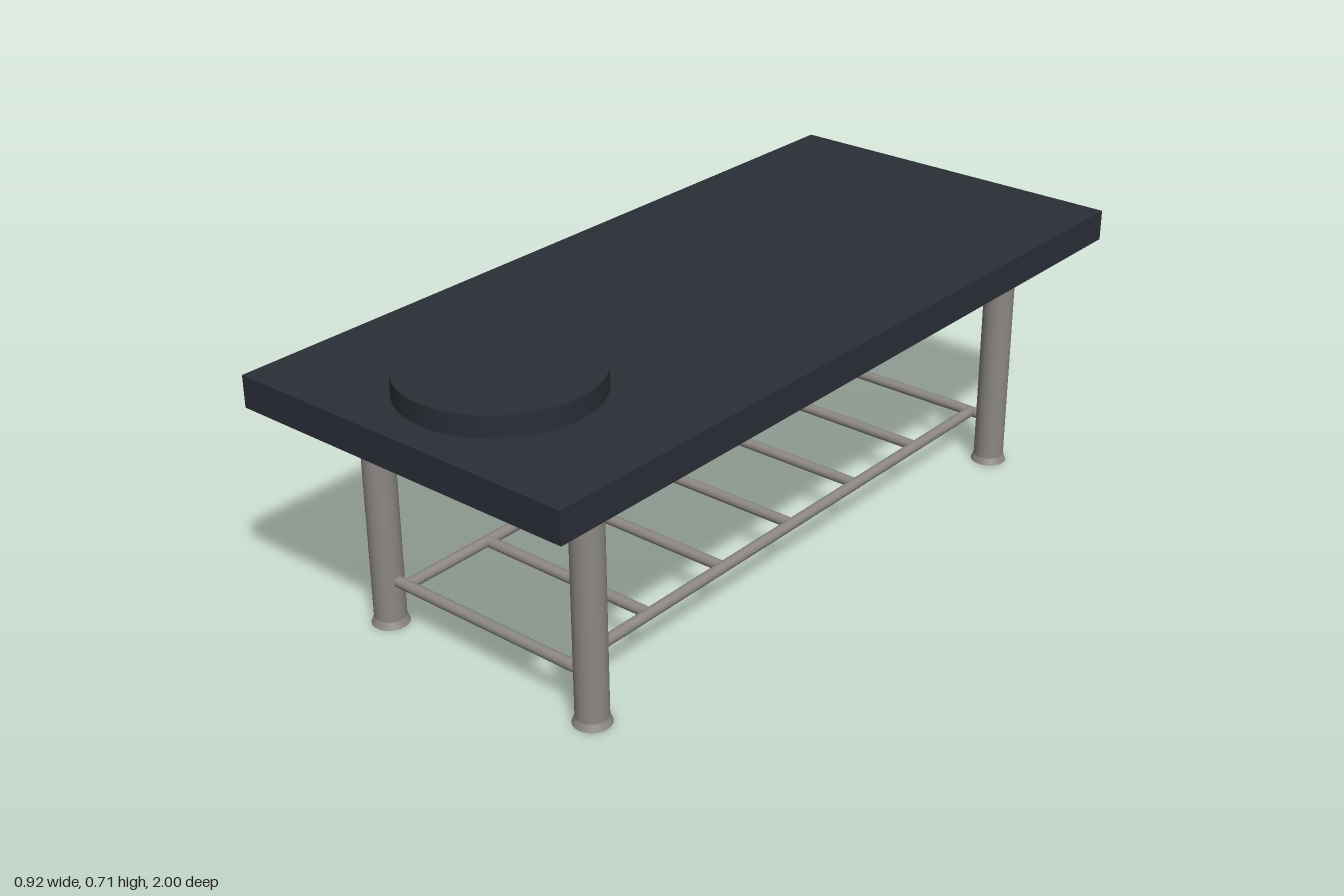
import * as THREE from 'three';

export function createModel() {
  const model = new THREE.Group();
  model.name = 'massageTable';
  const padding = new THREE.MeshStandardMaterial({ color: 0x2a2e36 });
  const metal = new THREE.MeshStandardMaterial({ color: 0x8c8783 });

  const add = (name, geometry, material, x, y, z) => {
    const mesh = new THREE.Mesh(geometry, material);
    mesh.name = name;
    mesh.position.set(x, y, z);
    model.add(mesh);
    return mesh;
  };

  // Padded top, round head cushion and the frame plate beneath
  add('top', new THREE.BoxGeometry(0.92, 0.077, 2), padding, 0, 0.6245, 0);
  add('headCushion', new THREE.CylinderGeometry(0.229, 0.229, 0.052, 48), padding, 0.007, 0.688, 0.697);
  add('framePlate', new THREE.BoxGeometry(0.766, 0.039, 1.846), metal, 0, 0.5665, 0);

  // Four legs with flared feet
  const legX = 0.312, legZ = 0.772;
  const legGeometry = new THREE.CylinderGeometry(0.038, 0.038, 0.533, 24);
  const footGeometry = new THREE.CylinderGeometry(0.038, 0.045, 0.017, 24);
  for (const sx of [-1, 1]) {
    for (const sz of [-1, 1]) {
      add('leg', legGeometry, metal, sx * legX, 0.2835, sz * legZ);
      add('foot', footGeometry, metal, sx * legX, 0.0085, sz * legZ);
    }
  }

  // Lower rack: two long rails joined by evenly spaced rungs
  const barY = 0.118, barR = 0.0135, railX = 0.25, rungs = 7;
  const railGeometry = new THREE.CylinderGeometry(barR, barR, 2 * legZ, 16).rotateX(Math.PI / 2);
  for (const sx of [-1, 1]) add('sideRail', railGeometry, metal, sx * railX, barY, 0);
  for (let i = 0; i < rungs; i++) {
    const isEnd = i === 0 || i === rungs - 1;
    const length = isEnd ? 0.552 : 2 * railX;
    const rung = new THREE.CylinderGeometry(barR, barR, length, 16).rotateZ(Math.PI / 2);
    add(isEnd ? 'endBar' : 'rung', rung, metal, 0, barY, -legZ + (2 * legZ * i) / (rungs - 1));
  }
  return model;
}
